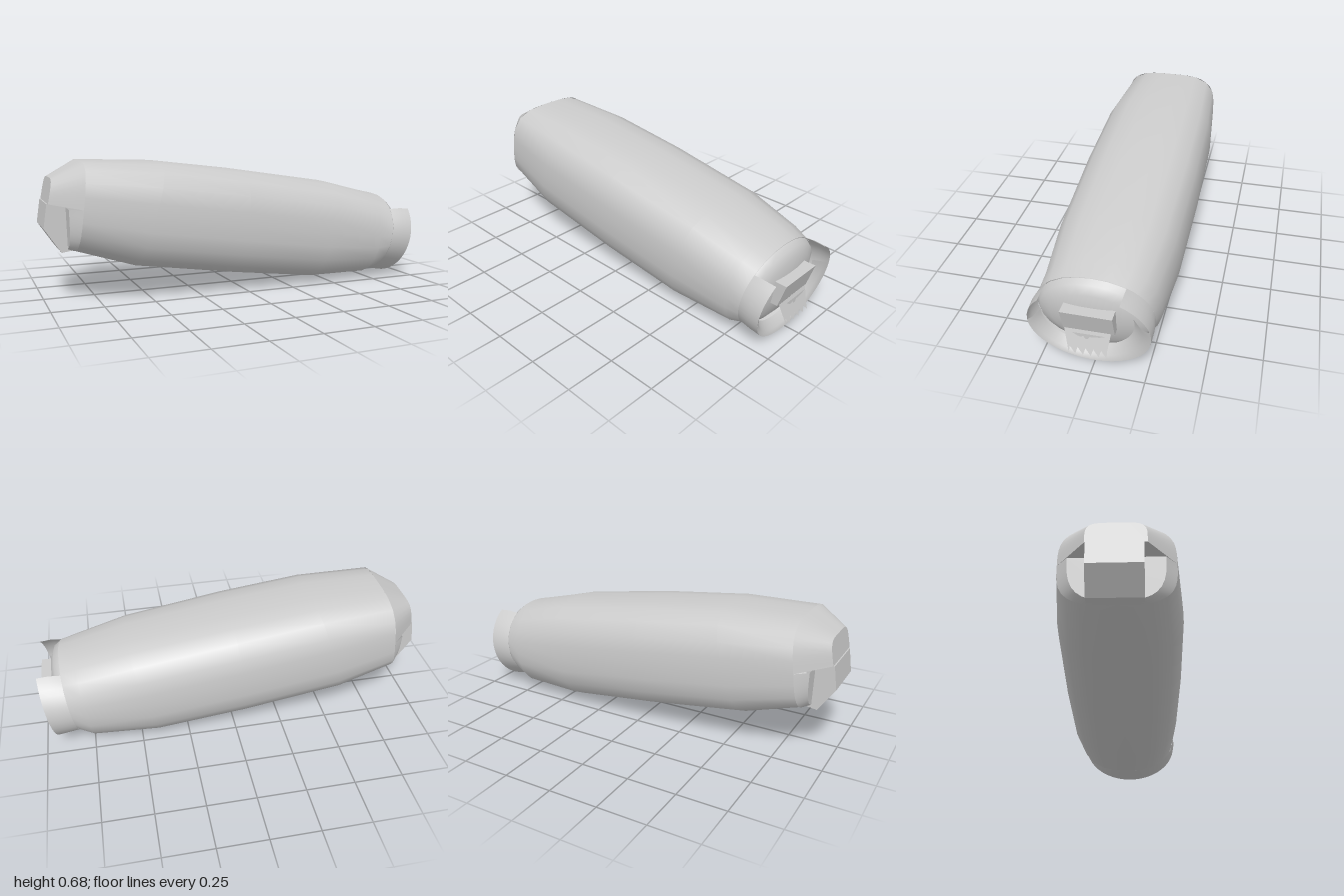
import * as THREE from 'three';
import { mergeGeometries } from 'three/addons/utils/BufferGeometryUtils.js';

const TAU = Math.PI * 2;
const mat = new THREE.MeshStandardMaterial({ color: 0xcccccc, side: THREE.DoubleSide });

// A tilted section: top point, bottom point, half width, roundness exponent, z centre.
const sec = (top, bot, w, e = 2, z = 0) => ({ top, bot, w, e, z });

function sectionPoint(s, a) {
  const c = Math.cos(a), n = Math.sin(a);
  const r = Math.pow(Math.pow(Math.abs(c), s.e) + Math.pow(Math.abs(n), s.e), -1 / s.e);
  const v = (1 + n * r) / 2;
  return [
    s.bot[0] + (s.top[0] - s.bot[0]) * v,
    s.bot[1] + (s.top[1] - s.bot[1]) * v,
    s.z + s.w * c * r,
  ];
}

// Skin over sections, around the full turn or an arc of it.
function loft(sections, from = 0, to = TAU, n = 24) {
  const full = to - from > TAU - 1e-6;
  const cols = full ? n : n + 1;
  const pos = [], idx = [];
  for (const s of sections) {
    for (let i = 0; i < cols; i++) pos.push(...sectionPoint(s, from + (to - from) * i / n));
  }
  for (let j = 0; j < sections.length - 1; j++) {
    for (let i = 0; i < n; i++) {
      const k = (i + 1) % cols;
      const a = j * cols + i, b = j * cols + k, c = a + cols, d = b + cols;
      idx.push(a, c, b, b, c, d);
    }
  }
  return finish(pos, idx);
}

// Flat cover over a section or an arc of it.
function cover(s, from = 0, to = TAU, n = 24) {
  const pos = [], idx = [];
  for (let i = 0; i <= n; i++) pos.push(...sectionPoint(s, from + (to - from) * i / n));
  for (let i = 1; i < n; i++) idx.push(0, i, i + 1);
  return finish(pos, idx);
}

function finish(pos, idx) {
  const g = new THREE.BufferGeometry();
  g.setAttribute('position', new THREE.Float32BufferAttribute(pos, 3));
  g.setIndex(idx);
  g.computeVertexNormals();
  return g;
}

// Side outline (x, y) stretched across z.
function slab(points, z0, z1) {
  const shape = new THREE.Shape(points.map(p => new THREE.Vector2(...p)));
  const g = new THREE.ExtrudeGeometry(shape, { depth: z1 - z0, bevelEnabled: false });
  return g.translate(0, 0, z0);
}

// Thin sheet outlined in (z, y), leaning so that x follows y.
function sheet(points, xAt) {
  const g = new THREE.ShapeGeometry(new THREE.Shape(points.map(p => new THREE.Vector2(...p))));
  const p = g.attributes.position;
  for (let i = 0; i < p.count; i++) {
    const z = p.getX(i), y = p.getY(i);
    p.setXYZ(i, xAt(y), y, z);
  }
  g.computeVertexNormals();
  return g;
}

export function createModel() {
  const model = new THREE.Group();
  const add = (name, geometry) => {
    const m = new THREE.Mesh(geometry, mat);
    m.name = name;
    model.add(m);
  };

  // Long rounded body, sloping down towards +x
  const rear = sec([-0.81, 0.685], [-0.86, 0.25], 0.265, 3.4, -0.01);
  const mouth = sec([0.88, 0.455], [0.81, 0.03], 0.275, 2.1, 0.01);
  add('body', loft([
    rear,
    sec([-0.43, 0.672], [-0.58, 0.16], 0.3, 3.3, -0.005),
    sec([0, 0.62], [-0.05, 0.08], 0.307, 3.2, -0.005),
    sec([0.53, 0.54], [0.4, 0.02], 0.3, 3, -0.005),
    sec([0.8, 0.473], [0.74, 0.01], 0.28, 2.5),
    mouth,
  ]));

  // Rear end: tapered upper lid over a shorter lower lip
  const lidEnd = sec([-0.955, 0.605], [-1.0, 0.37], 0.135, 5, -0.01);
  const lidFloor = finish(
    [rear, lidEnd].flatMap(s => [...sectionPoint(s, 0), ...sectionPoint(s, Math.PI)]),
    [0, 1, 2, 2, 1, 3]);
  add('rearLid', mergeGeometries([
    loft([rear, lidEnd], 0, Math.PI), cover(lidEnd, 0, Math.PI), lidFloor,
  ]));
  const lipEnd = sec([-0.9, 0.68], [-0.89, 0.255], 0.215, 3.2, -0.01);
  add('rearLip', mergeGeometries([
    loft([rear, lipEnd], Math.PI, TAU), cover(lipEnd, Math.PI, TAU),
  ]));
  add('rearWedge', slab(
    [[-0.84, 0.262], [-0.92, 0.25], [-1, 0.37], [-0.983, 0.487], [-0.86, 0.48]], -0.14, 0.11));

  // Rounded nose closing the front end
  const nose = [[1, 0], [0.92, 0.03], [0.72, 0.055], [0.45, 0.07], [0.2, 0.078], [0.001, 0.08]];
  add('nose', loft(nose.map(([k, dx]) => sec(
    [0.845 + 0.035 * k + dx, 0.24 + 0.212 * k],
    [0.845 - 0.035 * k + dx, 0.24 - 0.21 * k], 0.272 * k, 2.1, 0.01))));

  // Collar, broken open at the top, with an inner funnel round its lower half
  const lip = sec([1.0, 0.46], [0.918, 0.003], 0.281, 2, 0.012);
  const deg = Math.PI / 180;
  add('collar', loft([
    mouth, sec([0.94, 0.464], [0.865, 0.014], 0.283, 2, 0.012), lip,
  ], 123 * deg, 401 * deg, 36));
  add('collarFunnel', loft([
    lip,
    sec([0.99, 0.46], [0.912, 0.03], 0.25, 2, 0.022),
    sec([0.955, 0.46], [0.875, 0.065], 0.215, 2, 0.03),
  ], 170 * deg, 360 * deg, 28));

  // Overhanging upper jaw
  add('upperJaw', slab(
    [[0.86, 0.33], [0.983, 0.33], [0.945, 0.207], [0.86, 0.207]], -0.104, 0.132));

  // Lower jaw sheet with a toothed edge
  const teeth = [[0.125, 0.213], [0.1, 0.097]];
  for (let i = 0; i < 5; i++) {
    teeth.push([0.096 - i * 0.036, 0.13], [0.07 - i * 0.036, 0.098]);
  }
  teeth.push([-0.075, 0.13], [-0.088, 0.215]);
  const lean = y => 0.95 + (0.215 - y) * 0.3;
  add('toothedJaw', sheet(teeth, lean));

  // Ragged scrap on the lower jaw
  add('jawScrap', sheet([
    [0.083, 0.206], [0.06, 0.19], [0.045, 0.186], [0.035, 0.194], [0.025, 0.178],
    [0.014, 0.179], [0.005, 0.192], [-0.04, 0.198], [-0.066, 0.208],
  ], y => lean(y) + 0.004 + (y - 0.178) * 0.3));

  return model;
}
